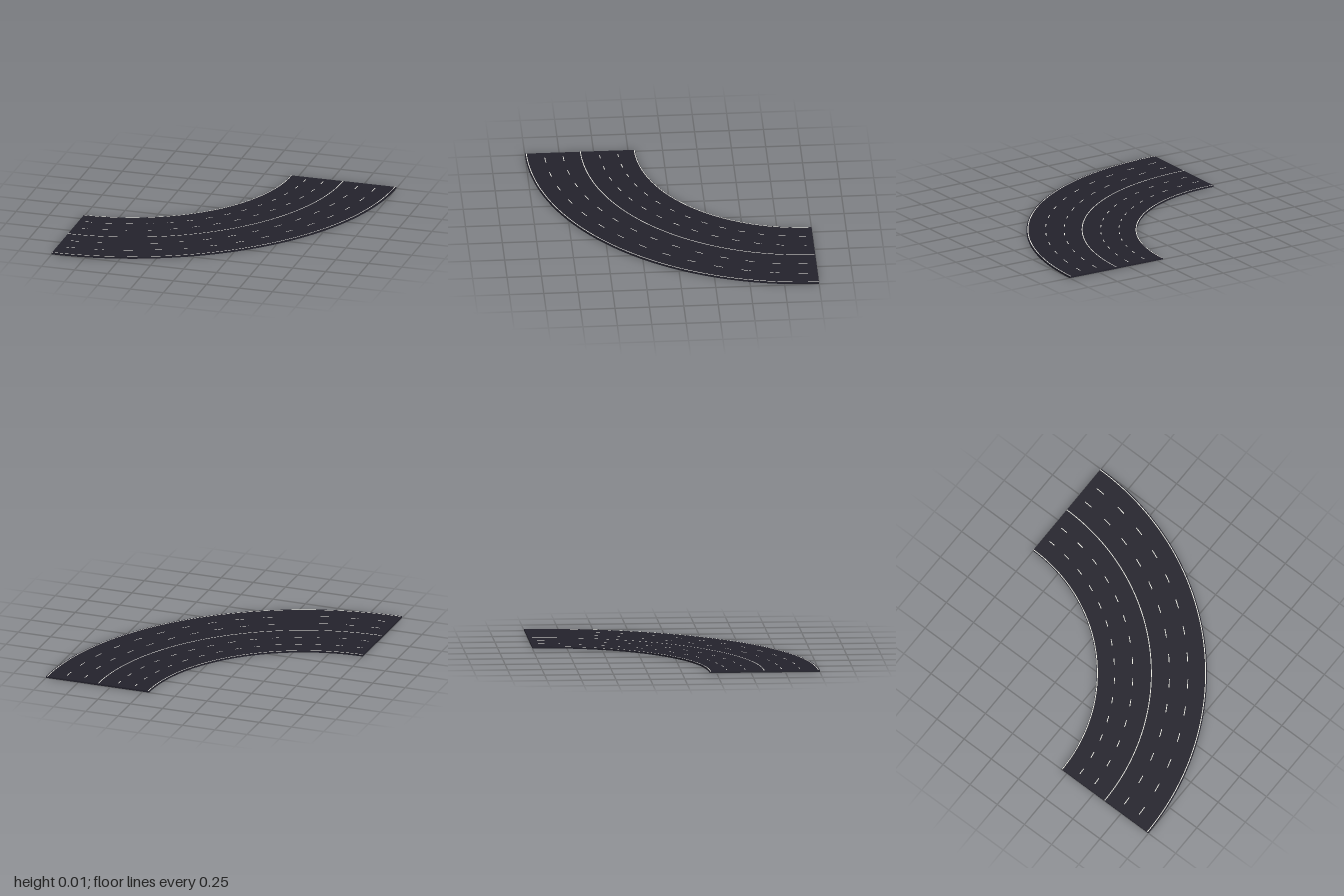
import * as THREE from 'three';
import { mergeGeometries } from 'three/addons/utils/BufferGeometryUtils.js';

const INNER = 1.2, OUTER = 2, HEIGHT = 0.012, LINE = 0.006;
const QUARTER = Math.PI / 2, DASHES = 14;

// Flat arc strip on the road surface; angles run from the +z end (0) to the +x end.
function strip(radius, start, length, segments) {
  const g = new THREE.RingGeometry(radius - LINE / 2, radius + LINE / 2, segments, 1, start - QUARTER, length);
  return g.rotateX(-QUARTER).translate(0, HEIGHT + 0.0008, 0);
}

export function createModel() {
  const asphalt = new THREE.MeshStandardMaterial({ color: 0x23222c });
  asphalt.name = 'asphalt';
  const paint = new THREE.MeshStandardMaterial({ color: 0xe8e8e0 });
  paint.name = 'road paint';

  const road = new THREE.Group();
  road.name = 'curvedRoad';
  const add = (name, geometry, material) => {
    const mesh = new THREE.Mesh(geometry, material);
    mesh.name = name;
    road.add(mesh);
  };

  // Road slab: quarter ring
  const outline = new THREE.Shape();
  outline.absarc(0, 0, OUTER, -QUARTER, 0, false);
  outline.absarc(0, 0, INNER, 0, -QUARTER, true);
  outline.closePath();
  const slab = new THREE.ExtrudeGeometry(outline, { depth: HEIGHT, bevelEnabled: false, curveSegments: 56 });
  add('roadSlab', slab.rotateX(-QUARTER), asphalt);

  // Solid lines: both edges and the middle
  const solid = { innerEdgeLine: 1.206, centreLine: 1.597, outerEdgeLine: 1.99 };
  for (const [name, radius] of Object.entries(solid)) add(name, strip(radius, 0, QUARTER, 56), paint);

  // Dashed lane dividers, two on each side of the middle
  const pitch = QUARTER / DASHES, dash = pitch / 3;
  [1.33, 1.463, 1.728, 1.862].forEach((radius, lane) => {
    const dashes = [];
    for (let i = 0; i < DASHES; i++) dashes.push(strip(radius, (i + 0.5) * pitch - dash / 2, dash, 2));
    add('laneDashes' + (lane + 1), mergeGeometries(dashes), paint);
  });

  // The curve turns about the back right corner
  road.position.set(-1, 0, -1);
  const model = new THREE.Group();
  model.name = 'roadCurve';
  model.add(road);
  return model;
}
